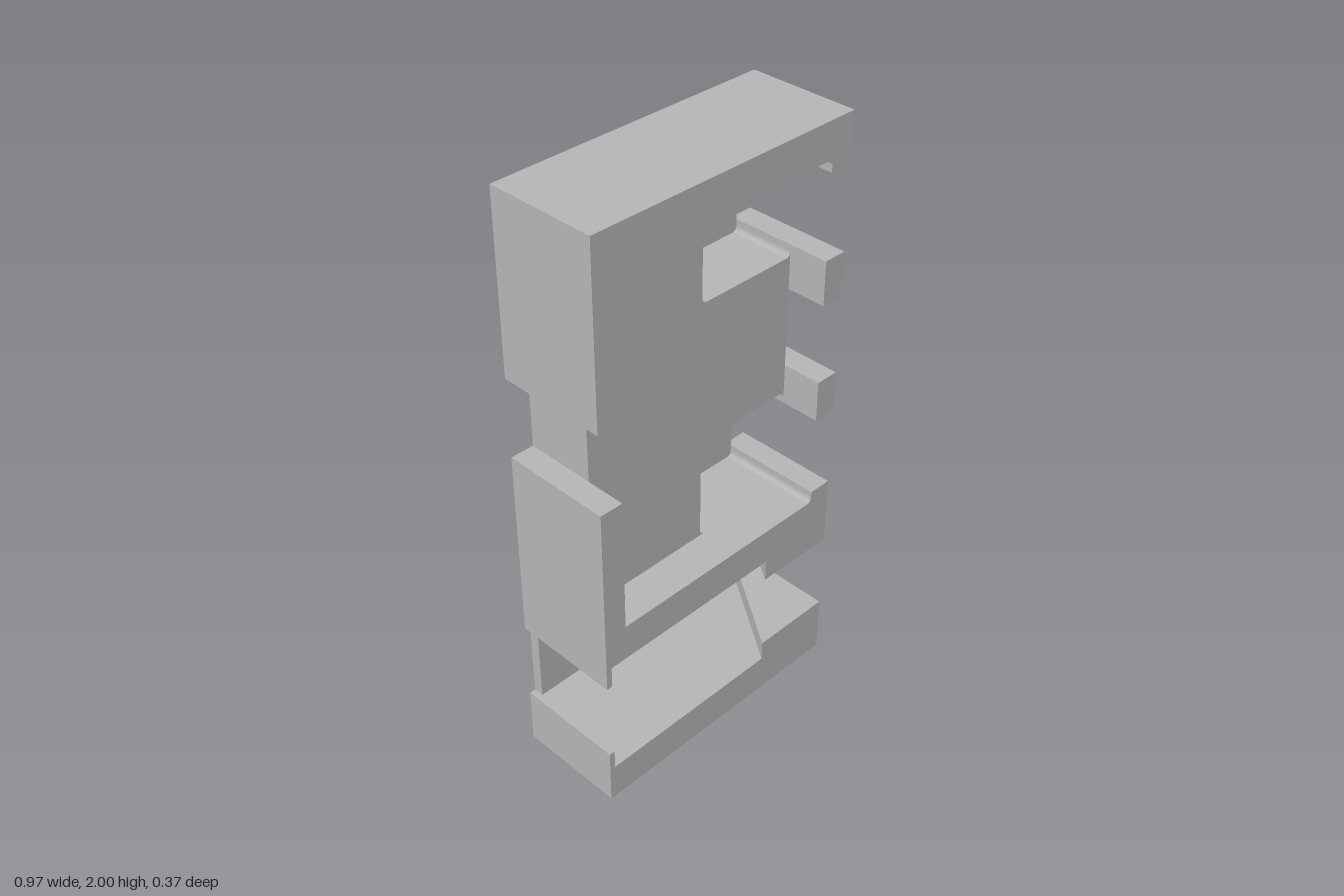
import * as THREE from 'three';

const W = 0.485, D = 0.185;          // half width, half depth
const IN = 0.405;                    // pocket and notch walls
const grey = new THREE.MeshStandardMaterial({ color: 0xb4b4b4 });
grey.name = 'grey';

// Points are [x, y] or [x, y, r], where r rounds that corner.
function outline(points) {
  const shape = new THREE.Shape();
  const n = points.length;
  points.forEach(([x, y, r = 0], i) => {
    const toward = ([px, py]) => {
      const d = Math.hypot(px - x, py - y);
      return [x + ((px - x) / d) * r, y + ((py - y) / d) * r];
    };
    const a = toward(points[(i + n - 1) % n]);
    if (i === 0) shape.moveTo(...a); else shape.lineTo(...a);
    if (r) shape.quadraticCurveTo(x, y, ...toward(points[(i + 1) % n]));
  });
  shape.closePath();
  return shape;
}

function extrude(points, depth) {
  return new THREE.ExtrudeGeometry(outline(points), { depth, bevelEnabled: false, curveSegments: 5 });
}

export function createModel() {
  const group = new THREE.Group();
  const add = (name, geometry) => {
    const mesh = new THREE.Mesh(geometry, grey);
    mesh.name = name;
    group.add(mesh);
  };
  // Front-facing layer: outline in x, y between two depths
  const layer = (name, points, z0, z1) => add(name, extrude(points, z1 - z0).translate(0, 0, z0));
  // Horizontal slice: outline in x, z between two heights
  const slice = (name, points, y0, y1) =>
    add(name, extrude(points.map(([x, z]) => [x, -z]), y1 - y0).rotateX(-Math.PI / 2).translate(0, y0, 0));

  const base = 0.555, r = 0.02;
  const leftNotch = [[-W, 1.41], [-IN, 1.41], [-IN, 1.14], [-W, 1.14]];
  const middleNotch = [[W, 1.14], [IN, 1.14], [IN, 1.41], [W, 1.41]];
  const sideNotch = (y0, y1) => [[W, y0], [IN, y0], [IN, y1], [W, y1]];
  // Deep pocket that opens through a side notch
  const deepPocket = (n0, n1, p0, p1) => [
    [W, n0], [IN, n0], [IN, p0, r], [0.04, p0, r], [0.04, p1, r], [IN, p1, r], [IN, n1], [W, n1],
  ];

  // Upper body, from back to front
  layer('backPlate', [
    [-W, base], [W, base], ...sideNotch(0.72, 1), ...middleNotch,
    ...sideNotch(1.56, 1.84), [W, 2], [-W, 2], ...leftNotch,
  ], -D, -0.165);
  layer('pocketBody', [
    [-W, base], [W, base], ...deepPocket(0.72, 1, 0.68, 1.04), ...middleNotch,
    ...deepPocket(1.56, 1.84, 1.52, 1.88), [W, 2], [-W, 2], ...leftNotch,
  ], -0.165, 0.05);
  layer('upperFrame', [
    [-W, 1.41], [-IN, 1.41], [-IN, 1.88], [IN, 1.88, r], [IN, 1.84], [W, 1.84], [W, 2], [-W, 2],
  ], 0.05, D);
  layer('lowerFrame', [
    [-W, base], [W, base], [W, 0.72], [IN, 0.72], [IN, 0.68, r], [-IN, 0.68], [-IN, 1.14], [-W, 1.14],
  ], 0.05, D);
  for (const [y0, y1] of [[1, 1.14], [1.41, 1.56]]) {
    layer('sideTab', [[IN, y0], [W, y0], [W, y1], [IN, y1]], 0.05, D);
  }

  // Lower body with the slanted channel
  const floor = -0.15;
  const channel = [
    [-W, -D], [W, -D], [W, D], [0.2, D], [0.425, floor], [-0.2, floor],
    [-0.465, 0.165], [-0.465, D], [-W, D],
  ];
  slice('foot', [[-W, -D], [W, -D], [W, D], [-W, D]], 0, 0.13);
  slice('channelBottom', channel, 0.13, 0.2);
  slice('channelBack', [
    [-0.465, -D], [0.46, -D], [0.46, -0.137], [0.425, -0.137], [0.425, floor], [-0.465, floor],
  ], 0.2, 0.48);
  slice('channelTop', channel, 0.48, base);

  return group;
}
